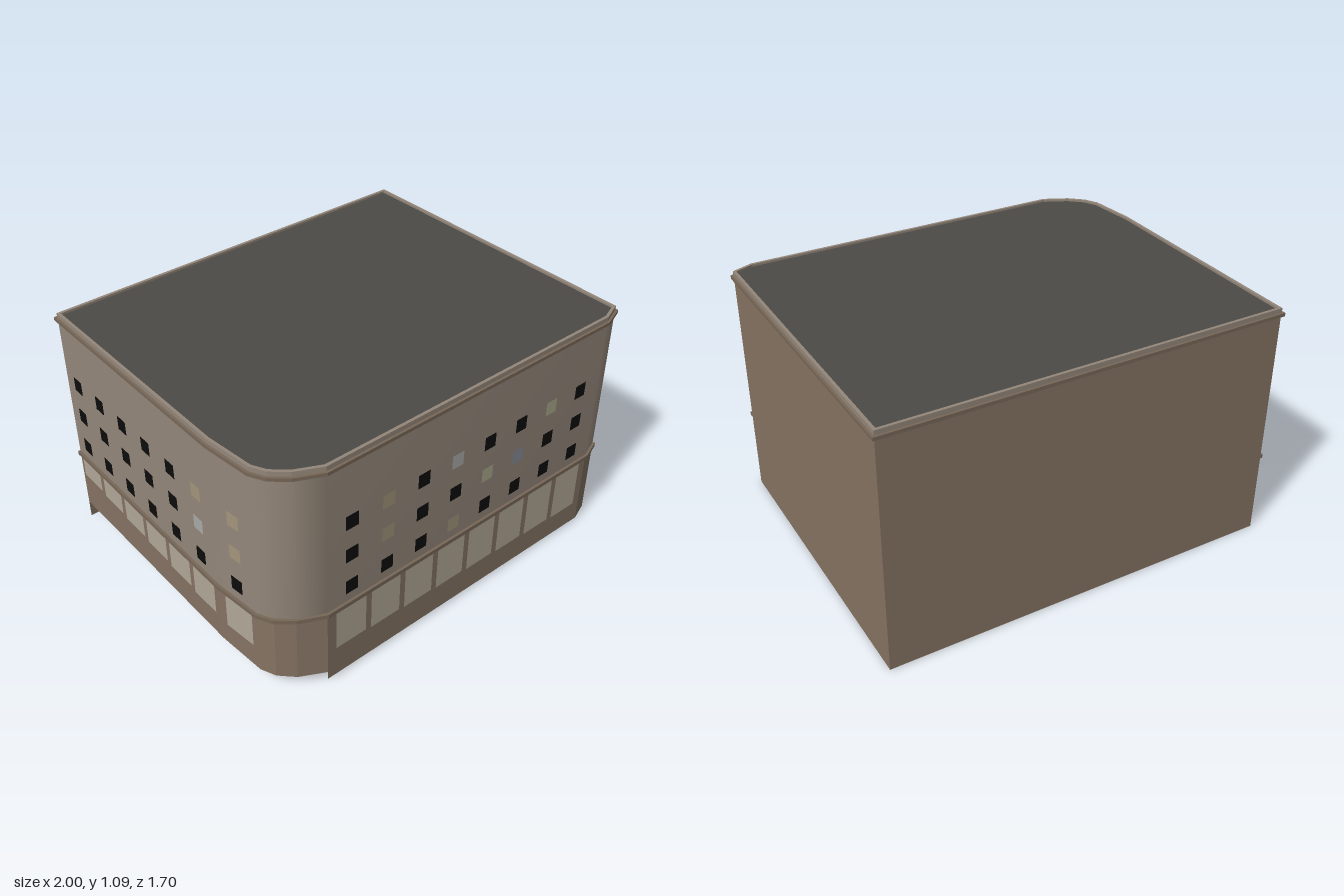
import * as THREE from 'three';

// Footprint corners (x, z), running along the left side, the rounded corner, the front, then the back
const OUTLINE = [
  [-0.99, -0.57], [-0.835, 0.49], [-0.78, 0.70], [-0.74, 0.755], [-0.67, 0.80],
  [-0.555, 0.835], [0.90, 0.605], [0.985, 0.555], [0.765, -0.845],
];
const STREET = OUTLINE.slice(0, 8);
const TOP = 1.09, FLOOR = 0.375;

const paint = (color) => new THREE.MeshStandardMaterial({ color, side: THREE.DoubleSide });
const upperMat = paint(0x94877a);
const baseMat = paint(0x857363);
const trimMat = paint(0x786858);
const roofMat = paint(0x4b4a46);
const glass = {
  k: 0x0c0c0c, t: 0xa3957b, w: 0xaaaaa8, g: 0xa9a88a, b: 0x858c97, s: 0xb0a796,
};
const glassMats = Object.fromEntries(
  Object.entries(glass).map(([k, color]) => [k, new THREE.MeshStandardMaterial({ color })]));

function add(group, name, geometry, material) {
  const mesh = new THREE.Mesh(geometry, material);
  mesh.name = name;
  group.add(mesh);
  return mesh;
}

// Upright wall along a path; bottoms may be one height or one per point
function wall(points, bottoms, top, smooth) {
  const pos = [], index = [];
  points.forEach(([x, z], i) => {
    pos.push(x, Array.isArray(bottoms) ? bottoms[i] : bottoms, z, x, top, z);
    if (i > 0) {
      const a = 2 * i - 2;
      index.push(a, a + 2, a + 3, a, a + 3, a + 1);
    }
  });
  let g = new THREE.BufferGeometry();
  g.setAttribute('position', new THREE.Float32BufferAttribute(pos, 3));
  g.setIndex(index);
  if (!smooth) g = g.toNonIndexed();
  g.computeVertexNormals();
  return g;
}

// Mitred offset of a path, positive outwards
function offset(points, d, closed) {
  const n = points.length;
  const normal = (i) => {
    const a = points[(i + n) % n], b = points[(i + 1) % n];
    return new THREE.Vector2(a[1] - b[1], b[0] - a[0]).normalize();
  };
  return points.map(([x, z], i) => {
    const n1 = !closed && i === 0 ? normal(0) : normal(i - 1);
    const n2 = !closed && i === n - 1 ? n1 : normal(i);
    const k = d / (1 + n1.dot(n2));
    return [x + (n1.x + n2.x) * k, z + (n1.y + n2.y) * k];
  });
}

const flat = (points) => points.map(([x, z]) => new THREE.Vector2(x, -z));

// Horizontal band between two offsets of a path
function band(points, inner, outer, y, height, closed) {
  const o = flat(offset(points, outer, closed)), i = flat(offset(points, inner, closed));
  const shape = new THREE.Shape(closed ? o : [...o, ...i.reverse()]);
  if (closed) shape.holes.push(new THREE.Path(i));
  const g = new THREE.ExtrudeGeometry(shape, { depth: height, bevelEnabled: false });
  return g.rotateX(-Math.PI / 2).translate(0, y, 0);
}

// Pane lying on the wall from p to q at fraction t
function pane(group, name, p, q, t, y0, y1, width, key) {
  const dx = q[0] - p[0], dz = q[1] - p[1], len = Math.hypot(dx, dz);
  const nx = -dz / len, nz = dx / len;
  const m = add(group, name, new THREE.PlaneGeometry(width, y1 - y0), glassMats[key]);
  m.position.set(p[0] + dx * t + nx * 0.003, (y0 + y1) / 2, p[1] + dz * t + nz * 0.003);
  m.rotation.y = Math.atan2(nx, nz);
}

export function createModel() {
  const model = new THREE.Group();
  model.name = 'cornerBuilding';

  // Walls: smooth upper street front, faceted ground floor, plain side and back
  add(model, 'upperWall', wall(STREET, FLOOR, TOP, true), upperMat);
  add(model, 'groundFloorCorner',
    wall(OUTLINE.slice(0, 6), [0.085, 0.085, 0.072, 0.066, 0.06, 0.055], FLOOR, false), baseMat);
  add(model, 'groundFloorFront', wall(OUTLINE.slice(5, 8), [0.015, 0.012, 0.008], FLOOR, false), baseMat);
  add(model, 'partyWalls', wall([...OUTLINE.slice(7), OUTLINE[0]], 0, TOP, false), baseMat);

  // Roof, parapet rim and cornices
  const roof = new THREE.ShapeGeometry(new THREE.Shape(flat(OUTLINE)));
  add(model, 'roof', roof.rotateX(-Math.PI / 2).translate(0, 1.08, 0), roofMat);
  add(model, 'parapet', band(OUTLINE, -0.012, 0.001, 1.07, TOP - 1.07, true), upperMat);
  add(model, 'roofCornice', band(OUTLINE, -0.002, 0.011, 1.055, 0.015, true), trimMat);
  add(model, 'floorCornice', band(STREET, -0.002, 0.011, 0.365, 0.019, false), trimMat);

  // Bays along the street: eight in front, six on the left, one on the angled corner face
  const bays = [];
  for (let i = 0; i < 8; i++) {
    bays.push({ p: OUTLINE[5], q: OUTLINE[6], t: (0.115 + i * 0.175) / 1.455,
      sill: 0.165 - i * 0.006, width: 0.15 });
  }
  for (let i = 0; i < 6; i++) {
    bays.push({ p: OUTLINE[0], q: OUTLINE[1], t: (0.095 + i * 0.172) / 1.06,
      sill: 0.26 - i * 0.011, width: 0.148 });
  }
  bays.push({ p: OUTLINE[1], q: OUTLINE[2], t: 0.52, sill: 0.19, width: 0.15 });

  // Window rows, bottom to top, one colour key per bay
  const rows = ['kkktkkkkkkkkkkk', 'ktkkgbkkkkkkkwt', 'ktkwkkgkkkkkktt'];
  const windows = new THREE.Group(), shopfront = new THREE.Group();
  windows.name = 'windows';
  shopfront.name = 'shopWindows';
  bays.forEach(({ p, q, t, sill, width }, i) => {
    rows.forEach((row, r) => {
      const y = 0.46 + r * 0.16;
      pane(windows, 'window', p, q, t, y - 0.033, y + 0.033, 0.06, row[i]);
    });
    pane(shopfront, 'shopWindow', p, q, t, sill, 0.36, width, 's');
  });
  model.add(windows, shopfront);
  return model;
}
